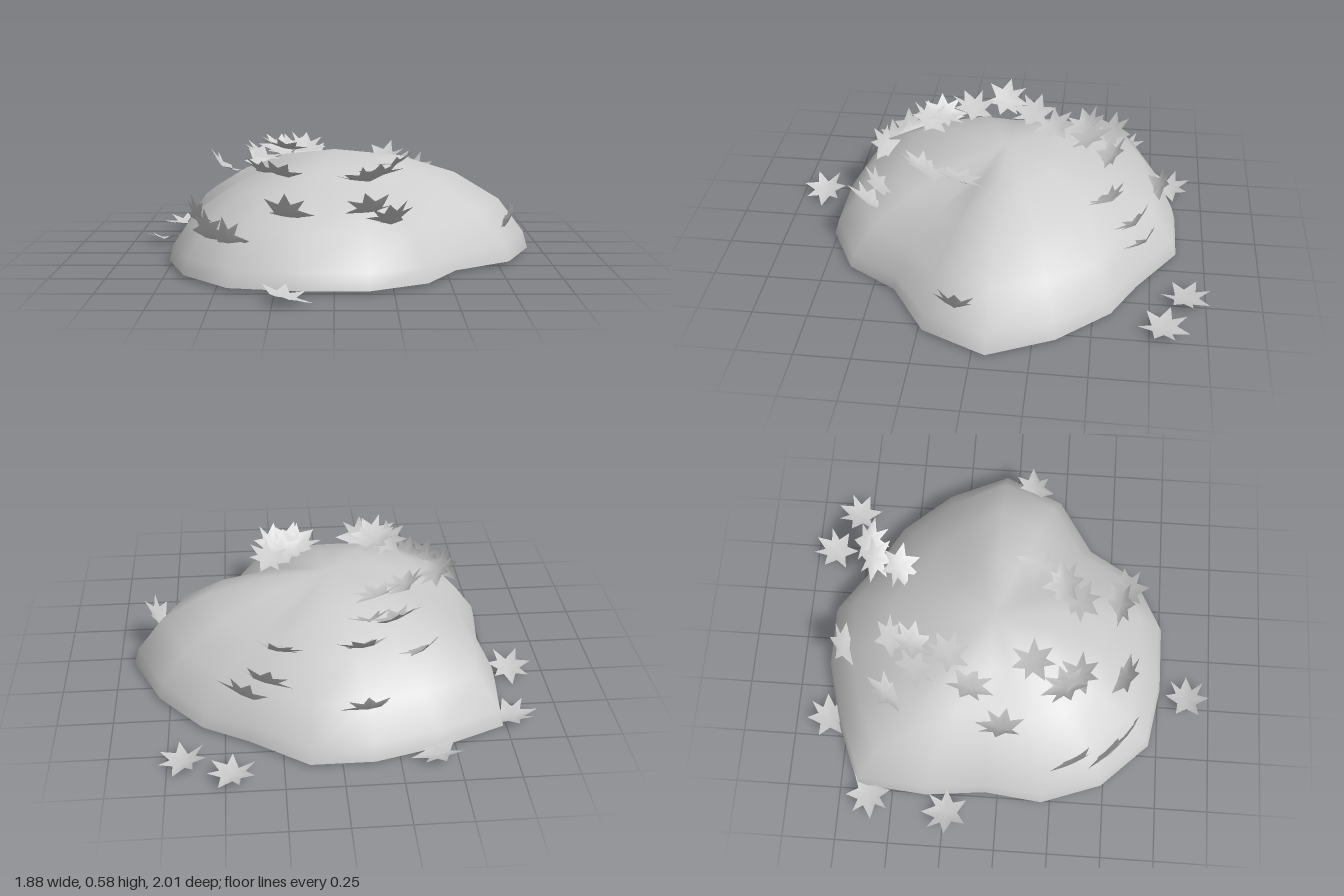
import * as THREE from 'three';

const BASE = 0.03, HEIGHT = 0.48, CENTER_Z = -0.06;

// Ground outline of the mound with the fullness of its slope: [x, z, fullness]
const OUTLINE = [
  [-0.14, -0.87, 0.88], [0.14, -0.87, 0.88], [0.4, -0.69, 0.92], [0.6, -0.58, 0.82], [0.8, -0.35, 0.92],
  [0.93, -0.06, 1], [0.8, 0.23, 0.92], [0.54, 0.4, 0.76], [0.4, 0.63, 0.84], [0.15, 0.76, 0.88],
  [-0.16, 0.76, 0.89], [-0.45, 0.71, 0.92], [-0.66, 0.49, 0.9], [-0.76, 0.21, 0.9], [-0.73, -0.06, 0.9],
  [-0.76, -0.34, 0.92], [-0.73, -0.67, 0.9], [-0.44, -0.79, 0.9],
];

// Rings from the ground up: [scale of the outline, height fraction]
const RINGS = [[1, 0], [0.975, 0.17], [0.845, 0.5], [0.615, 0.77], [0.33, 0.94]];

// Leaves resting on the mound: [x, y, z, heading, inward tilt], angles in degrees
const MOUND_LEAVES = [
  [-0.11, 0.26, -0.77, 90, 45], [-0.37, 0.38, -0.53, 150, 35], [-0.11, 0.41, -0.53, 60, 35],
  [-0.27, 0.47, -0.41, -80, 30], [-0.15, 0.48, -0.43, 180, 30], [-0.2, 0.5, -0.26, 120, 18],
  [-0.34, 0.48, -0.15, -20, 25], [-0.51, 0.45, 0, 170, 35], [-0.23, 0.56, 0.13, -60, 15],
  [-0.31, 0.47, 0.28, 200, 25], [-0.25, 0.47, 0.34, -70, 25], [-0.2, 0.33, 0.56, 80, 45],
  [-0.6, 0.27, 0.34, 200, 62], [-0.54, 0.23, 0.5, 220, 66], [-0.45, 0.21, 0.57, 50, 64],
  [0.27, 0.48, 0.13, 160, 20], [0.2, 0.45, 0.25, 100, 22], [0.12, 0.44, 0.33, -40, 25],
  [0.15, 0.34, 0.52, -100, 38], [0.24, 0.31, 0.56, 0, 38], [0.8, 0.2, 0.08, 90, 58],
  [0.25, 0.41, -0.53, -60, 35], [0.31, 0.34, -0.66, -90, 48], [0.41, 0.31, -0.7, 90, 52],
];

// Leaves lying on the ground around it: [x, z, heading, lean x, lean z]
const GROUND_LEAVES = [
  [0.47, -0.91, 150, -0.06, 0.06], [0.68, -0.81, 160, 0.06, 0.06], [-0.84, -0.24, 180, 0, -0.2],
  [-0.2, 0.89, 90, 0.25, 0], [-0.78, -0.61, -80, 0.08, 0.05], [-0.41, -0.84, 100, 0.1, 0.05],
];

function buildGeometry(pos, index) {
  const g = new THREE.BufferGeometry();
  g.setAttribute('position', new THREE.Float32BufferAttribute(pos, 3));
  g.setIndex(index);
  g.computeVertexNormals();
  return g;
}

// Open dome lofted from scaled copies of the outline, uneven from column to column
function moundGeometry() {
  const n = OUTLINE.length, apex = n * RINGS.length, pos = [], index = [];
  RINGS.forEach(([scale, rise], ring) => OUTLINE.forEach(([x, z, fullness]) => {
    const f = ring === RINGS.length - 1 ? Math.sqrt(fullness) : fullness;
    pos.push(x * scale, BASE + HEIGHT * rise * f, CENTER_Z + (z - CENTER_Z) * scale);
  }));
  pos.push(0, BASE + HEIGHT, CENTER_Z);
  for (let i = 0; i < RINGS.length; i++) {
    for (let j = 0; j < n; j++) {
      const a = i * n + j, b = i * n + (j + 1) % n;
      if (i === RINGS.length - 1) index.push(a, apex, b);
      else index.push(a, a + n, b, b, a + n, b + n);
    }
  }
  return buildGeometry(pos, index);
}

// Seven-pointed leaf, tip towards +z, folded up along its midrib
function leafGeometry() {
  const half = [[0, 0.12], [0.028, 0.05], [0.078, 0.08], [0.052, 0.02],
    [0.105, -0.005], [0.045, -0.035], [0.055, -0.1]];
  const rim = [...half, [0, -0.055], ...half.slice(1).reverse().map(([x, z]) => [-x, z])];
  const pos = [0, -0.02, 0], index = [];
  rim.forEach(([x, z], i) => {
    pos.push(x, Math.abs(x) * 0.35 - 0.02 + z * z, z);
    index.push(0, i + 1, (i + 1) % rim.length + 1);
  });
  return buildGeometry(pos, index);
}

export function createModel() {
  const model = new THREE.Group();
  model.name = 'leafPile';
  const material = new THREE.MeshStandardMaterial({ color: 0xcccccc, side: THREE.DoubleSide });

  const mound = new THREE.Mesh(moundGeometry(), material);
  mound.name = 'mound';
  model.add(mound);

  const geometry = leafGeometry();
  const up = new THREE.Vector3(0, 1, 0);
  const addLeaf = (name, x, y, z, heading, normal) => {
    const leaf = new THREE.Mesh(geometry, material);
    leaf.name = name;
    leaf.position.set(x, y, z);
    const turn = new THREE.Quaternion().setFromAxisAngle(up, THREE.MathUtils.degToRad(heading));
    leaf.quaternion.setFromUnitVectors(up, normal).multiply(turn);
    model.add(leaf);
  };

  // Mound leaves lean inwards, steeper towards the rim
  MOUND_LEAVES.forEach(([x, y, z, heading, tiltDegrees], i) => {
    const tilt = THREE.MathUtils.degToRad(tiltDegrees);
    const normal = new THREE.Vector3(-x, 0, CENTER_Z - z).setLength(Math.sin(tilt));
    normal.y = Math.cos(tilt);
    addLeaf(`moundLeaf${i + 1}`, x, y, z, heading, normal);
  });

  GROUND_LEAVES.forEach(([x, z, heading, leanX, leanZ], i) => {
    addLeaf(`groundLeaf${i + 1}`, x, 0.05, z, heading, new THREE.Vector3(leanX, 1, leanZ).normalize());
  });
  return model;
}
